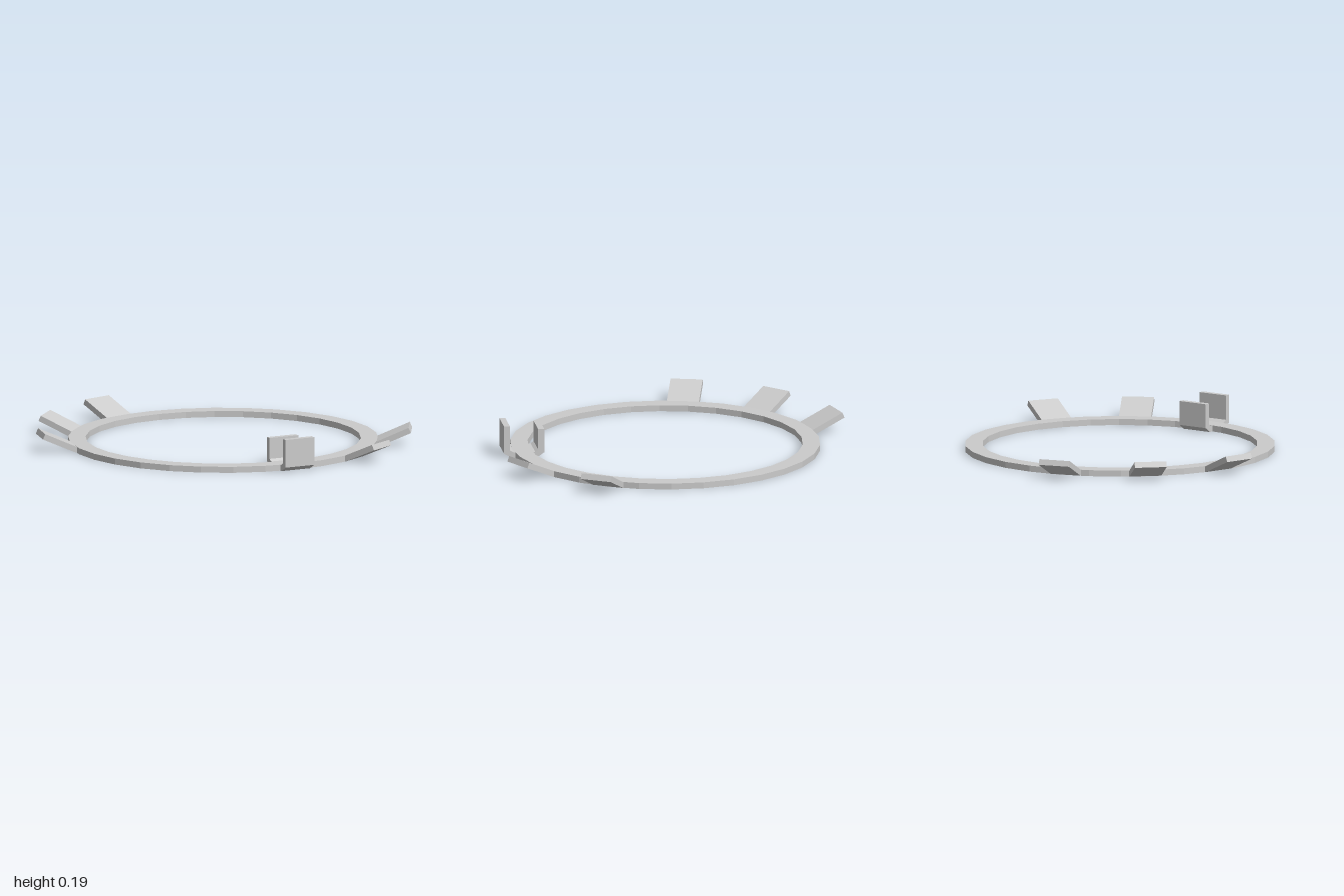
import * as THREE from 'three';

const CX = 0.04, CZ = 0.035;      // ring centre
const SIDES = 30, THICK = 0.034;
const WIDTH = 0.18;               // width of every tab

const material = new THREE.MeshStandardMaterial({ color: 0xcccccc, flatShading: true });

const polygon = (r) => Array.from({ length: SIDES }, (_, i) => {
  const a = -Math.PI / 2 + (i / SIDES) * Math.PI * 2;
  return new THREE.Vector2(Math.cos(a) * r, Math.sin(a) * r);
});

// Extrudes a (radius, height) profile across the tab width and turns it around the ring
function radialPart(name, profile, degrees) {
  const shape = new THREE.Shape(profile.map(([r, y]) => new THREE.Vector2(r, y)));
  const geometry = new THREE.ExtrudeGeometry(shape, { depth: WIDTH, bevelEnabled: false });
  geometry.translate(0, 0, -WIDTH / 2);
  const mesh = new THREE.Mesh(geometry, material);
  mesh.name = name;
  mesh.rotation.y = -THREE.MathUtils.degToRad(degrees);
  mesh.position.set(CX, 0, CZ);
  return mesh;
}

export function createModel() {
  const model = new THREE.Group();
  model.name = 'clipRing';

  // Flat faceted ring
  const outline = new THREE.Shape(polygon(0.865));
  outline.holes.push(new THREE.Path(polygon(0.768)));
  const ringGeometry = new THREE.ExtrudeGeometry(outline, { depth: THICK, bevelEnabled: false });
  ringGeometry.rotateX(Math.PI / 2).translate(0, THICK, 0);
  const ring = new THREE.Mesh(ringGeometry, material);
  ring.name = 'ring';
  ring.position.set(CX, 0, CZ);
  model.add(ring);

  // Tabs bent upward and outward, angles measured from +x towards +z
  const tabProfile = [
    [0.82, 0.001], [0.863, 0.001], [1.05, 0.083], [1.037, 0.113],
    [0.857, THICK - 0.001], [0.82, THICK - 0.001],
  ];
  [30, 60, 195, 225, 255].forEach((a, i) => {
    model.add(radialPart('bentTab' + (i + 1), tabProfile, a));
  });

  // U-shaped clip with two upright plates and chamfered bends
  const clipProfile = [
    [0.735, 0], [0.87, 0], [0.92, 0.028], [0.92, 0.185], [0.887, 0.185],
    [0.887, 0.047], [0.865, 0.033], [0.745, 0.033], [0.728, 0.045],
    [0.728, 0.163], [0.694, 0.163], [0.694, 0.028],
  ];
  model.add(radialPart('uprightClip', clipProfile, 90));

  return model;
}
